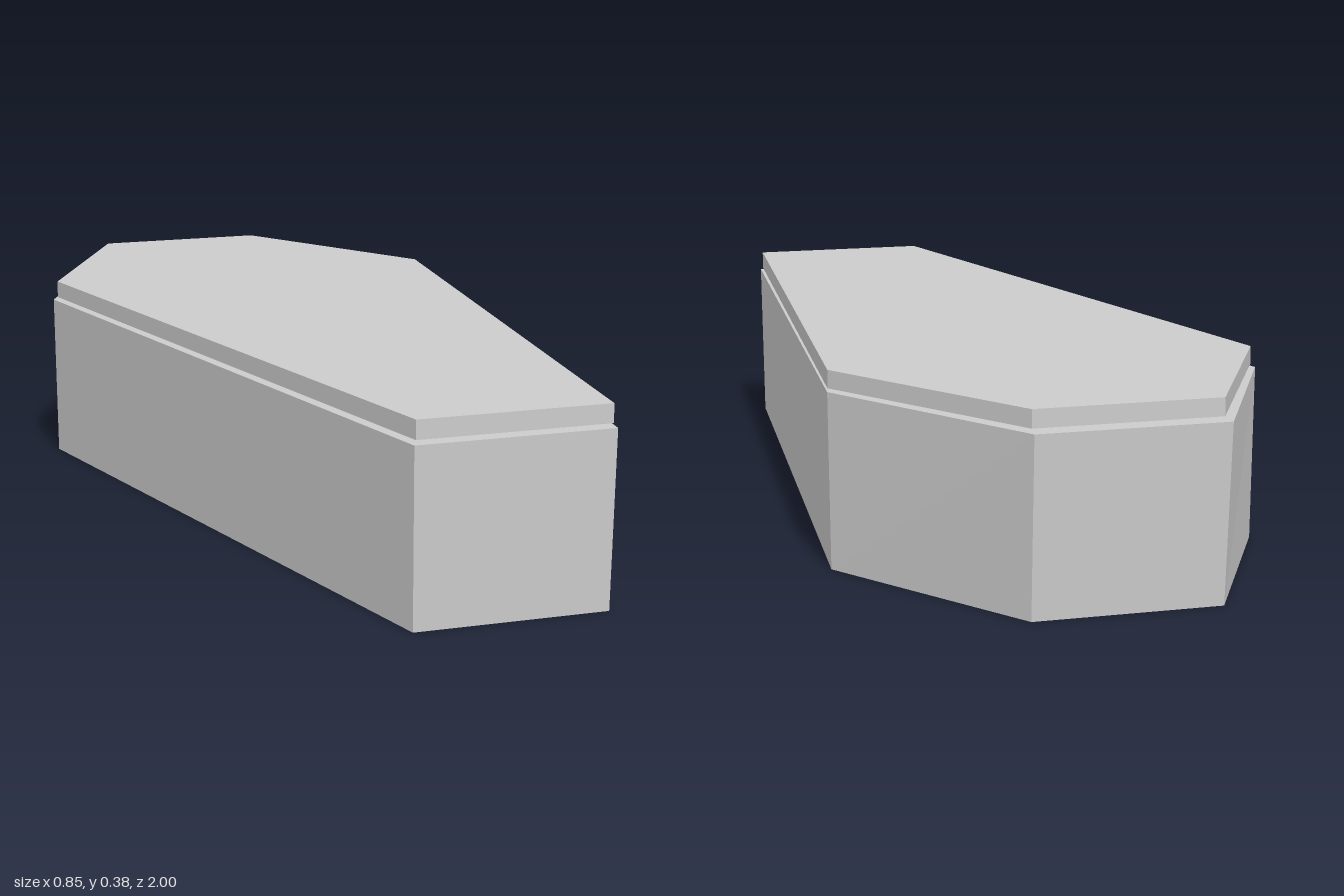
import * as THREE from 'three';

// Six-sided outline: narrow foot (+z), wide shoulders, narrow head (-z)
function outline(foot, footZ, shoulder, shoulderZ, head, headZ, shift = 0) {
  return [
    [foot, footZ], [shoulder, shoulderZ], [head, headZ],
    [-head, headZ], [-shoulder, shoulderZ], [-foot, footZ],
  ].map(([x, z]) => [x + shift, z]);
}

// Closed solid between two outlines; heights may be a function of z
function loft(lower, upper, lowerY, upperY) {
  const pos = [];
  const a = lower.map(([x, z]) => [x, lowerY(z), z]);
  const b = upper.map(([x, z]) => [x, upperY(z), z]);
  const tri = (p, q, r) => pos.push(...p, ...q, ...r);
  const n = a.length;
  for (let i = 0; i < n; i++) {
    const j = (i + 1) % n;
    tri(a[i], a[j], b[j]);
    tri(a[i], b[j], b[i]);
    if (i > 0 && i < n - 1) {
      tri(b[0], b[i], b[i + 1]);
      tri(a[0], a[i + 1], a[i]);
    }
  }
  const g = new THREE.BufferGeometry();
  g.setAttribute('position', new THREE.Float32BufferAttribute(pos, 3));
  g.computeVertexNormals();
  return g;
}

export function createModel() {
  const group = new THREE.Group();
  group.name = 'coffin';
  const material = new THREE.MeshStandardMaterial({ color: 0xcccccc, flatShading: true });
  const add = (name, geometry) => {
    const mesh = new THREE.Mesh(geometry, material);
    mesh.name = name;
    group.add(mesh);
  };

  // Box, flaring slightly towards the top
  add('body', loft(
    outline(0.188, 0.99, 0.42, -0.53, 0.18, -0.98),
    outline(0.192, 1, 0.425, -0.53, 0.183, -1),
    () => 0, () => 0.336));

  // Lid, a little smaller, set off centre with a thin gap below it
  const lid = outline(0.187, 0.987, 0.42, -0.525, 0.178, -0.98, 0.003);
  add('lid', loft(lid, lid, () => 0.342, (z) => 0.377 + 0.001 * z));

  return group;
}
